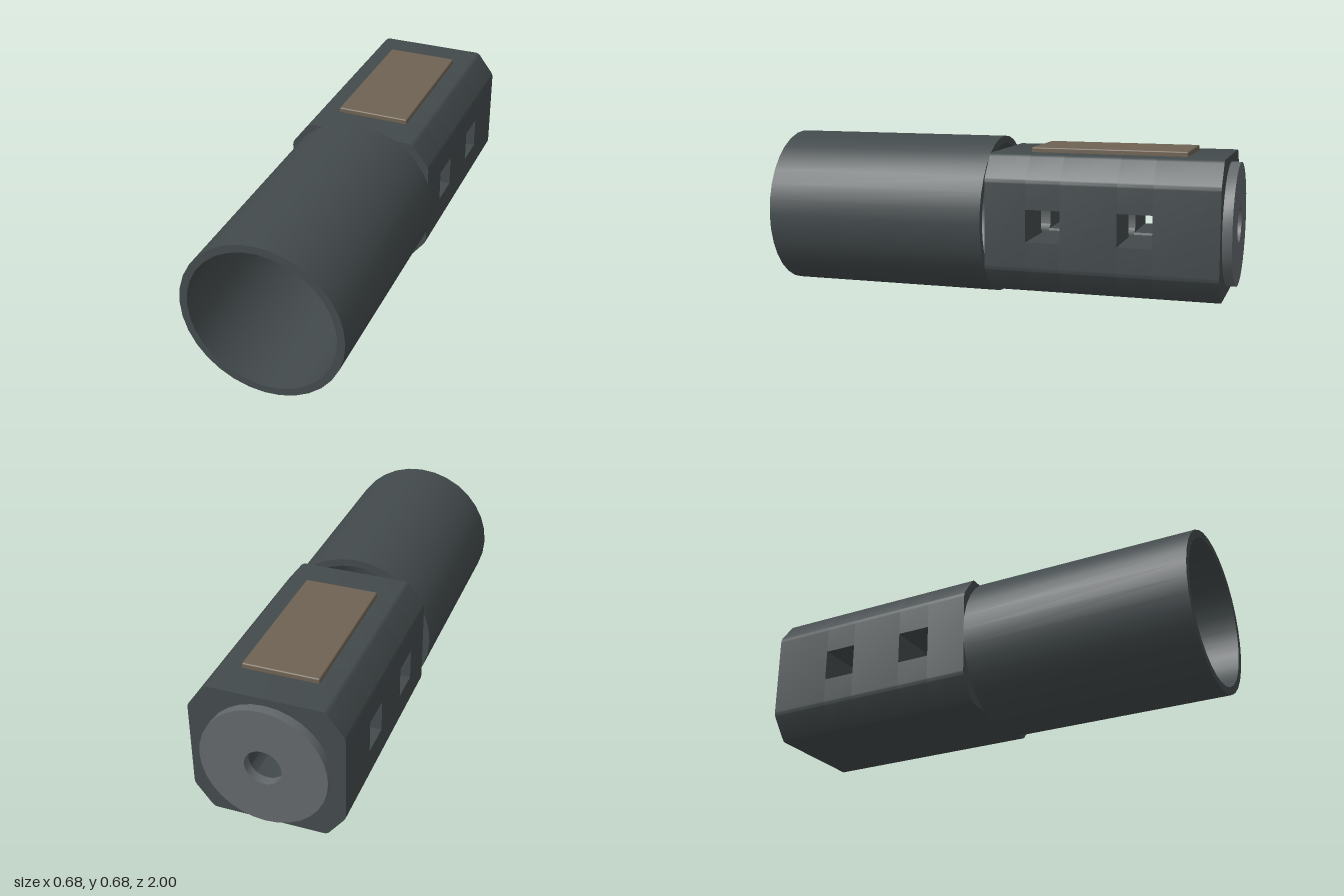
import * as THREE from 'three';
import { toCreasedNormals } from 'three/addons/utils/BufferGeometryUtils.js';
import { RoundedBoxGeometry } from 'three/addons/geometries/RoundedBoxGeometry.js';

const AXIS = 0.342; // height of the long axis

// Closed path through [x, y, cornerRadius] points
function roundedPath(points, target) {
  const n = points.length;
  const toward = (a, b, d) => {
    const len = Math.hypot(b[0] - a[0], b[1] - a[1]);
    return [a[0] + ((b[0] - a[0]) / len) * d, a[1] + ((b[1] - a[1]) / len) * d];
  };
  points.forEach((p, i) => {
    const r = p[2] || 0;
    const start = toward(p, points[(i + n - 1) % n], r);
    if (i === 0) target.moveTo(...start);
    else target.lineTo(...start);
    if (r > 0) target.quadraticCurveTo(p[0], p[1], ...toward(p, points[(i + 1) % n], r));
  });
  target.closePath();
  return target;
}

// Octagon from half width, half height and the chamfer ends
const octagon = (w, h, cx, cy, r) => [
  [w, -cy, r], [w, cy, r], [cx, h, r], [-cx, h, r],
  [-w, cy, r], [-w, -cy, r], [-cx, -h, r], [cx, -h, r],
];

// Extrude a section between two z positions
function extrudeZ(shape, z0, z1, curveSegments) {
  const geo = new THREE.ExtrudeGeometry(shape, { depth: z1 - z0, bevelEnabled: false, curveSegments });
  geo.translate(0, 0, z0);
  return toCreasedNormals(geo, 0.5);
}

function ring(outer, inner) {
  const shape = new THREE.Shape().absarc(0, 0, outer, 0, Math.PI * 2, false);
  shape.holes.push(new THREE.Path().absarc(0, 0, inner, 0, Math.PI * 2, true));
  return shape;
}

export function createModel() {
  const model = new THREE.Group();
  const dark = new THREE.MeshStandardMaterial({ color: 0x434a4c });
  const grey = new THREE.MeshStandardMaterial({ color: 0x63686a });
  const tan = new THREE.MeshStandardMaterial({ color: 0x6e6252 });

  const add = (parent, name, geo, mat) => {
    const mesh = new THREE.Mesh(geo, mat);
    mesh.name = name;
    parent.add(mesh);
    return mesh;
  };

  const core = new THREE.Group();
  core.name = 'core';
  core.position.y = AXIS;
  model.add(core);

  // Open front tube
  add(core, 'frontTube', extrudeZ(ring(0.342, 0.31), 0.025, 1, 16), dark);

  // Body: chamfered block with a bore, sliced where the side windows pass through
  const body = new THREE.Group();
  body.name = 'body';
  core.add(body);

  const full = roundedPath(octagon(0.315, 0.29, 0.237, 0.188, 0.015), new THREE.Shape());
  full.holes.push(roundedPath(octagon(0.077, 0.077, 0.05, 0.05, 0.008).reverse(), new THREE.Path()));

  // Half section above a window
  const half = roundedPath([
    [0.315, 0.068], [0.315, 0.188, 0.015], [0.237, 0.29, 0.015],
    [-0.237, 0.29, 0.015], [-0.315, 0.188, 0.015], [-0.315, 0.068],
    [-0.059, 0.068], [-0.05, 0.077], [0.05, 0.077], [0.059, 0.068],
  ], new THREE.Shape());

  const cuts = [-0.96, -0.692, -0.547, -0.31, -0.165, 0.012];
  for (let i = 0; i < cuts.length - 1; i++) {
    if (i % 2 === 0) {
      add(body, 'bodySection', extrudeZ(full, cuts[i], cuts[i + 1], 4), dark);
    } else {
      const geo = extrudeZ(half, cuts[i], cuts[i + 1], 4);
      add(body, 'windowTop', geo, dark);
      add(body, 'windowBottom', geo, dark).rotation.z = Math.PI;
    }
  }

  // Rear disc with a round hole
  add(core, 'rearCap', extrudeZ(ring(0.26, 0.076), -1, -0.96, 16), grey);

  // Raised plate on top of the body
  const plate = add(core, 'topPlate', new RoundedBoxGeometry(0.314, 0.04, 0.66, 2, 0.006), tan);
  plate.position.set(0, 0.291, -0.475);

  return model;
}
